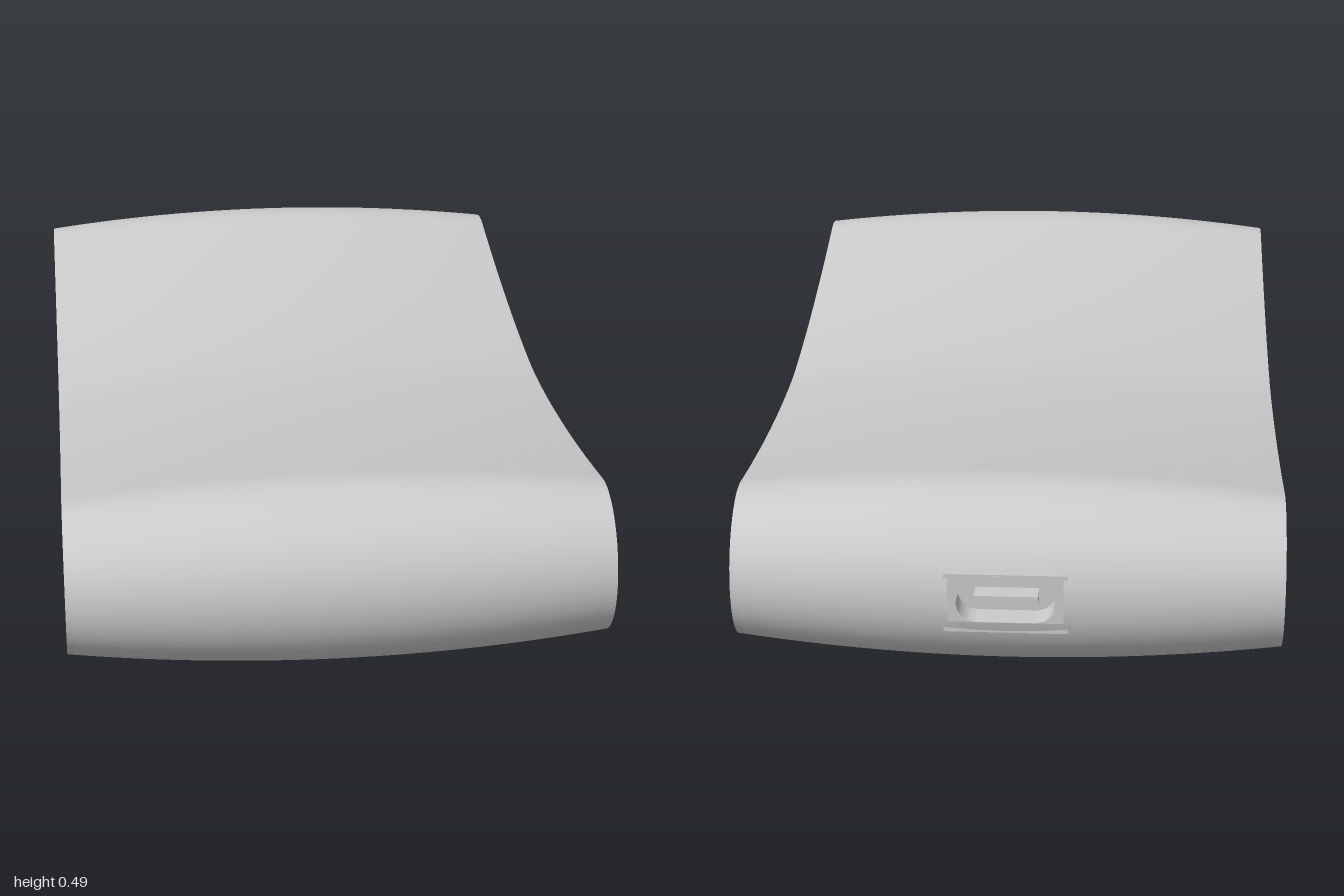
import * as THREE from 'three';

const HALF = 0.56, END = 0.805, R = 0.16, TILT = 0.19;
const material = new THREE.MeshStandardMaterial({ color: 0xcccccc, side: THREE.DoubleSide });

// Centre line of the curved slab; u runs towards the back (u = -z).
const centreY = u => 0.2 + 0.095 * Math.pow(Math.abs(u) / END, 1.6);
const slope = u => Math.atan(TILT * Math.sign(u) * Math.pow(Math.abs(u) / END, 0.6));

// Rounded band of radius r that follows the centre line from u0 to u1.
function outline(r, u0 = -END, u1 = END, n = 60, capN = 24) {
  const pts = [];
  const put = (u, angle) => pts.push(new THREE.Vector2(u + r * Math.cos(angle), centreY(u) + r * Math.sin(angle)));
  const at = i => u0 + (u1 - u0) * i / n;
  for (let i = 0; i <= n; i++) put(at(i), slope(at(i)) + Math.PI / 2);
  for (let i = 1; i < capN; i++) put(u1, slope(u1) + Math.PI / 2 - Math.PI * i / capN);
  for (let i = n; i >= 0; i--) put(at(i), slope(at(i)) - Math.PI / 2);
  for (let i = 1; i < capN; i++) put(u0, slope(u0) - Math.PI / 2 - Math.PI * i / capN);
  return pts;
}

// Surface through closed rings of points, leaving out quads where skip() is true.
function loft(rings, skip = () => false) {
  const n = rings[0].length, index = [];
  for (let i = 0; i < rings.length - 1; i++) for (let j = 0; j < n; j++) {
    const k = (j + 1) % n;
    const mid = rings[i][j].clone().add(rings[i + 1][k]).multiplyScalar(0.5);
    if (skip(mid)) continue;
    const a = i * n + j, b = i * n + k, c = a + n, d = b + n;
    index.push(a, c, b, b, c, d);
  }
  const g = new THREE.BufferGeometry().setFromPoints(rings.flat());
  g.setIndex(index);
  g.computeVertexNormals();
  return g;
}

const ringAt = (x, pts) => pts.map(p => new THREE.Vector3(x, p.y, -p.x));
const facePlate = (shape, x) => new THREE.ShapeGeometry(shape, 32).rotateY(Math.PI / 2).translate(x, 0, 0);
const circle = (x, y, r) => new THREE.Path().absarc(x, y, r, 0, Math.PI * 2, true);

function stadium(T, w, h, y) {
  const s = new T(), a = w - h;
  s.absarc(a, y, h, -Math.PI / 2, Math.PI / 2, false);
  s.absarc(-a, y, h, Math.PI / 2, Math.PI * 1.5, false);
  s.closePath();
  return s;
}

// How far the underside is pushed in: round mount pocket and hollow at the front.
function lift(x, z) {
  const ss = THREE.MathUtils.smoothstep;
  const pocket = (1 - ss(Math.hypot(x, z - 0.1), 0.24, 0.29)) * ss(z, -0.1, 0.1);
  const hollow = ss(z, 0.4, 0.46) * (1 - ss(z, 0.55, 0.88)) * (1 - ss(Math.abs(x), 0.2, 0.45));
  return 0.04 * pocket + 0.06 * hollow;
}

export function createModel() {
  const model = new THREE.Group();
  const add = (name, geometry, parent = model) => {
    const mesh = new THREE.Mesh(geometry, material);
    mesh.name = name;
    parent.add(mesh);
    return mesh;
  };
  model.position.x = 0;

  // Outer shell, slightly barrelled across its width
  const rings = [];
  for (let i = 0; i <= 48; i++) {
    const x = HALF * (i / 24 - 1);
    const ring = ringAt(x, outline(R + 0.035 * (1 - (x / HALF) ** 2)));
    ring.forEach(p => { if (p.y < centreY(p.z) - 0.06) p.y += lift(x, p.z); });
    rings.push(ring);
  }
  add('shell', loft(rings, m => m.z < -0.9 && Math.abs(m.x) < 0.11 && Math.abs(m.y - 0.295) < 0.05));

  // Sunken side panels: flat rim, sloping wall and floor
  const holeY = centreY(END);
  const sides = [
    { name: 'left', s: 1, r: 0.11, inner: 0.09, u0: -0.56, u1: 0.8 },
    { name: 'right', s: -1, r: 0.13, inner: 0.12, u0: -0.49, u1: END },
  ];
  for (const { name, s, r, inner, u0, u1 } of sides) {
    const rim = new THREE.Shape(outline(R));
    rim.holes.push(new THREE.Path(outline(r, u0, u1)));
    if (s < 0) rim.holes.push(circle(-END, holeY, 0.125));
    add(name + 'Rim', facePlate(rim, s * HALF));
    const floorX = s * (HALF - 0.07);
    add(name + 'RecessWall', loft([ringAt(s * HALF, outline(r, u0, u1)), ringAt(floorX, outline(inner, u0, u1))]));
    add(name + 'RecessFloor', facePlate(new THREE.Shape(outline(inner, u0, u1)), floorX));
  }

  // Round socket on the right side
  const socket = new THREE.CylinderGeometry(0.125, 0.125, 0.16, 40, 1, true).rotateZ(Math.PI / 2);
  add('socketWall', socket.translate(-HALF + 0.08, holeY, END));
  add('socketFloor', new THREE.CircleGeometry(0.125, 40).rotateY(-Math.PI / 2).translate(-HALF + 0.16, holeY, END));

  // Two screws on the left side
  const screwProfile = [[0.05, -0.04], [0.05, 0.004], [0.044, 0.01], [0.031, 0.01], [0.031, -0.012], [0, -0.012]]
    .map(p => new THREE.Vector2(...p));
  for (const [x, y, z, size] of [[HALF, 0.3, 0.82, 1], [HALF - 0.065, 0.25, 0.55, 0.9]]) {
    const g = new THREE.LatheGeometry(screwProfile, 20).toNonIndexed();
    g.computeVertexNormals();
    add('screw', g.rotateZ(-Math.PI / 2).scale(size, size, size).translate(x, y, z));
  }

  // Port in the back edge
  const frame = new THREE.Shape([[-0.125, 0.23], [0.125, 0.23], [0.125, 0.36], [-0.125, 0.36]].map(p => new THREE.Vector2(...p)));
  frame.holes.push(stadium(THREE.Path, 0.1, 0.042, 0.295));
  add('portFrame', new THREE.ExtrudeGeometry(frame, { depth: 0.06, bevelEnabled: false, curveSegments: 16 }).translate(0, 0, -0.99));
  add('portFloor', new THREE.ShapeGeometry(stadium(THREE.Shape, 0.1, 0.042, 0.295)).translate(0, 0, -0.935));
  add('portTongue', new THREE.BoxGeometry(0.13, 0.018, 0.04).translate(0, 0.295, -0.955));

  // Mount under the body: two drilled tabs and a crescent wall
  const mount = new THREE.Group();
  mount.name = 'mount';
  mount.rotation.x = -0.04;
  mount.position.y = 0.008;
  model.add(mount);
  const slab = (shape, depth, top) =>
    new THREE.ExtrudeGeometry(shape, { depth, bevelEnabled: false, curveSegments: 24 }).rotateX(Math.PI / 2).translate(0, top, 0);
  for (const s of [1, -1]) {
    const tab = new THREE.Shape([[0.07, -0.14], [0.11, -0.19], [0.2, -0.19], [0.25, -0.12], [0.25, 0.22], [0.2, 0.28], [0.11, 0.28], [0.07, 0.23]]
      .map(([x, z]) => new THREE.Vector2(s * x, z)));
    for (const z of [-0.08, 0.18]) tab.holes.push(circle(s * 0.16, z, 0.028));
    add('mountTab', slab(tab, 0.05, 0.05), mount);
  }
  const crescent = new THREE.Shape();
  crescent.absarc(0, 0.1, 0.31, 0.1, Math.PI - 0.1, false);
  crescent.absarc(0, 0.1, 0.275, Math.PI - 0.1, 0.1, true);
  add('mountCrescent', slab(crescent, 0.055, 0.06), mount);

  return model;
}
